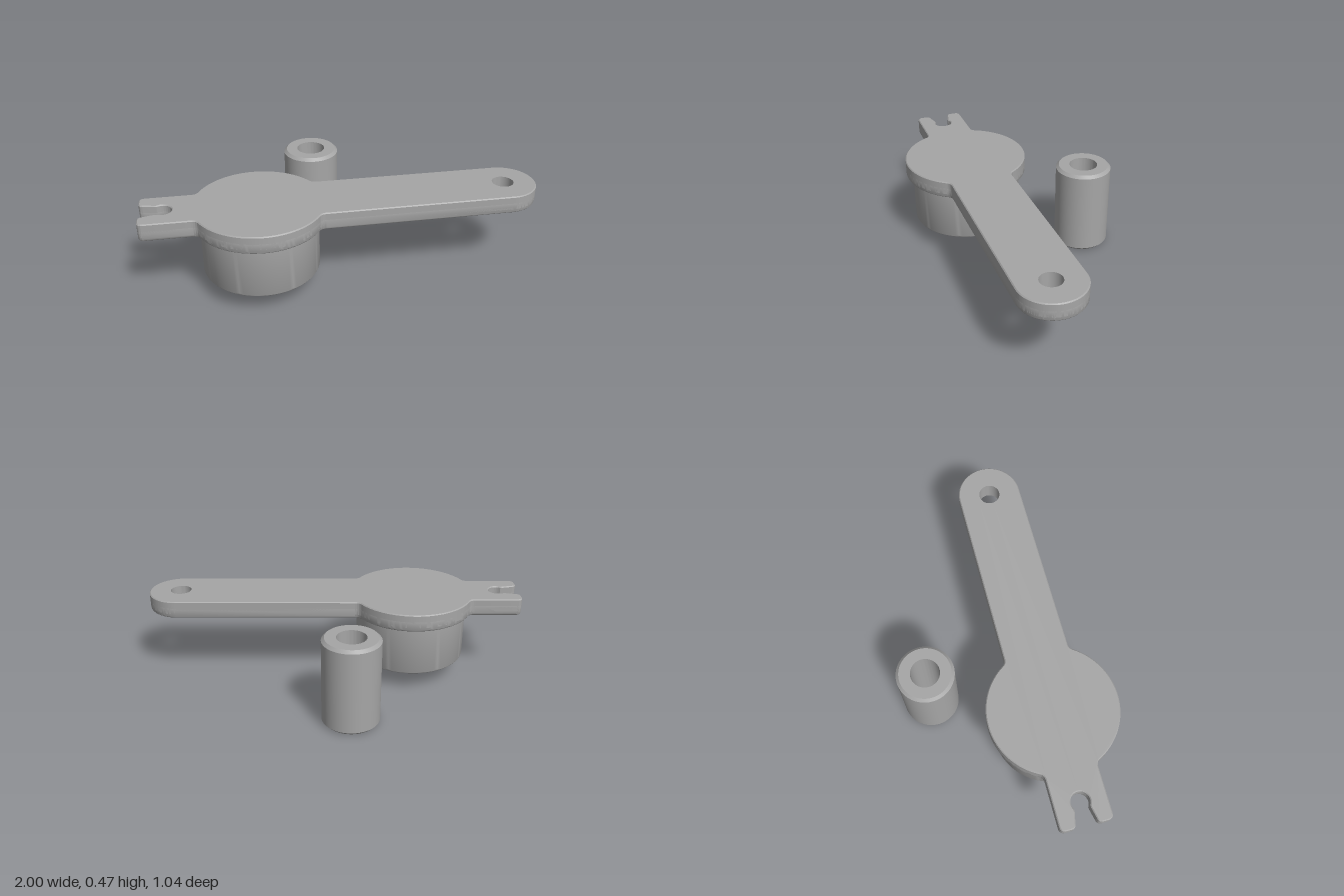
import * as THREE from 'three';
import { toCreasedNormals } from 'three/addons/utils/BufferGeometryUtils.js';

const TOP = 0.465, UNDER = 0.37, HUB_X = -0.42, AXIS_Z = 0.19;

export function createModel() {
  const model = new THREE.Group();
  const grey = new THREE.MeshStandardMaterial({ color: 0xa6a6a6 });
  grey.name = 'satin grey';

  const add = (parent, name, geometry, x = 0, y = 0, z = 0) => {
    const mesh = new THREE.Mesh(toCreasedNormals(geometry, 0.6), grey);
    mesh.name = name;
    mesh.position.set(x, y, z);
    parent.add(mesh);
  };

  const lathe = (points, segments = 72) =>
    new THREE.LatheGeometry(points.map(([r, y]) => new THREE.Vector2(r, y)), segments);

  // Lays a shape flat and fills it between two heights, with optional rounded rims
  const slab = (shape, y0, y1, bevel = 0, steps = 1) => {
    const g = new THREE.ExtrudeGeometry(shape, {
      depth: y1 - y0 - 2 * bevel, curveSegments: 32, bevelEnabled: bevel > 0,
      bevelThickness: bevel, bevelSize: bevel, bevelOffset: -bevel, bevelSegments: steps,
    });
    return g.rotateX(Math.PI / 2).translate(0, y1 - bevel, 0);
  };

  const circle = (r, x = 0) => new THREE.Path().absarc(x, 0, r, 0, Math.PI * 2, false);

  const roundedRect = (w, h, r) => {
    const p = new THREE.Path(), a = w / 2 - r, b = h / 2 - r, q = Math.PI / 2;
    p.absarc(a, b, r, 0, q, false);
    p.absarc(-a, b, r, q, 2 * q, false);
    p.absarc(-a, -b, r, 2 * q, 3 * q, false);
    p.absarc(a, -b, r, 3 * q, 4 * q, false);
    p.closePath();
    return p;
  };

  const lever = new THREE.Group();
  lever.name = 'lever';
  lever.position.z = AXIS_Z;
  model.add(lever);

  // Half of the plate outline: arm tip, hub disc, fork prong, slot end
  const a1 = 0.59, a2 = Math.PI - 0.47, slot = THREE.MathUtils.degToRad(125);
  const half = new THREE.Path();
  half.absarc(0.833, 0, 0.165, 0, Math.PI / 2, false);
  half.lineTo(-0.11, 0.165);
  half.quadraticCurveTo(-0.134, 0.165, HUB_X + 0.33 * Math.cos(a1), 0.33 * Math.sin(a1));
  half.absarc(HUB_X, 0, 0.33, a1, a2, false);
  half.quadraticCurveTo(-0.723, 0.13, -0.75, 0.13);
  half.lineTo(-0.97, 0.13);
  half.quadraticCurveTo(-1, 0.13, -1, 0.1);
  half.lineTo(-1, 0.077);
  half.quadraticCurveTo(-1, 0.055, -0.978, 0.052);
  half.lineTo(-0.925, 0.04);
  half.absarc(-0.885, 0, 0.047, slot, 0, true);
  const upper = half.getPoints(28);
  const lower = upper.slice(1, -1).reverse().map((p) => new THREE.Vector2(p.x, -p.y));
  const plate = new THREE.Shape([...upper, ...lower]);
  plate.holes.push(circle(0.06, 0.83));

  // Softly rounded underside and a finely broken top edge
  add(lever, 'plateUnderside', slab(plate, UNDER, TOP - 0.02, 0.018, 4));
  add(lever, 'plateTop', slab(plate, UNDER + 0.02, TOP, 0.005));

  // Straight bore at the arm tip
  add(lever, 'armBore', lathe([
    [0.055, TOP], [0.055, UNDER], [0.08, UNDER], [0.08, TOP], [0.055, TOP],
  ], 48), 0.83);

  // Hub drum with rounded lower edge and recessed underside
  const drum = [[0.267, 0.125], [0.267, 0.105]];
  for (let i = 0; i <= 4; i++) {
    const a = (i / 4) * Math.PI / 2;
    drum.push([0.28 + 0.015 * Math.sin(a), 0.12 - 0.015 * Math.cos(a)]);
  }
  drum.push([0.295, UNDER + 0.01]);
  add(lever, 'hubDrum', lathe(drum, 96), HUB_X);

  // Hub core with a stepped, rounded pocket
  const core = (name, y0, y1, w, h, r) => {
    const s = new THREE.Shape().absarc(0, 0, 0.268, 0, Math.PI * 2, false);
    if (w) s.holes.push(roundedRect(w, h, r));
    add(lever, name, slab(s, y0, y1), HUB_X);
  };
  core('pocketLip', 0.12, 0.135, 0.46, 0.24, 0.08);
  core('pocketWall', 0.135, 0.27, 0.42, 0.2, 0.06);
  core('pocketFloor', 0.27, 0.3);

  // Separate bored pin with chamfered ends
  add(model, 'pin', lathe([
    [0.075, TOP], [0.075, 0], [0.133, 0], [0.148, 0.015],
    [0.148, TOP - 0.015], [0.133, TOP], [0.075, TOP],
  ]), -0.085, 0, -0.376);

  return model;
}
